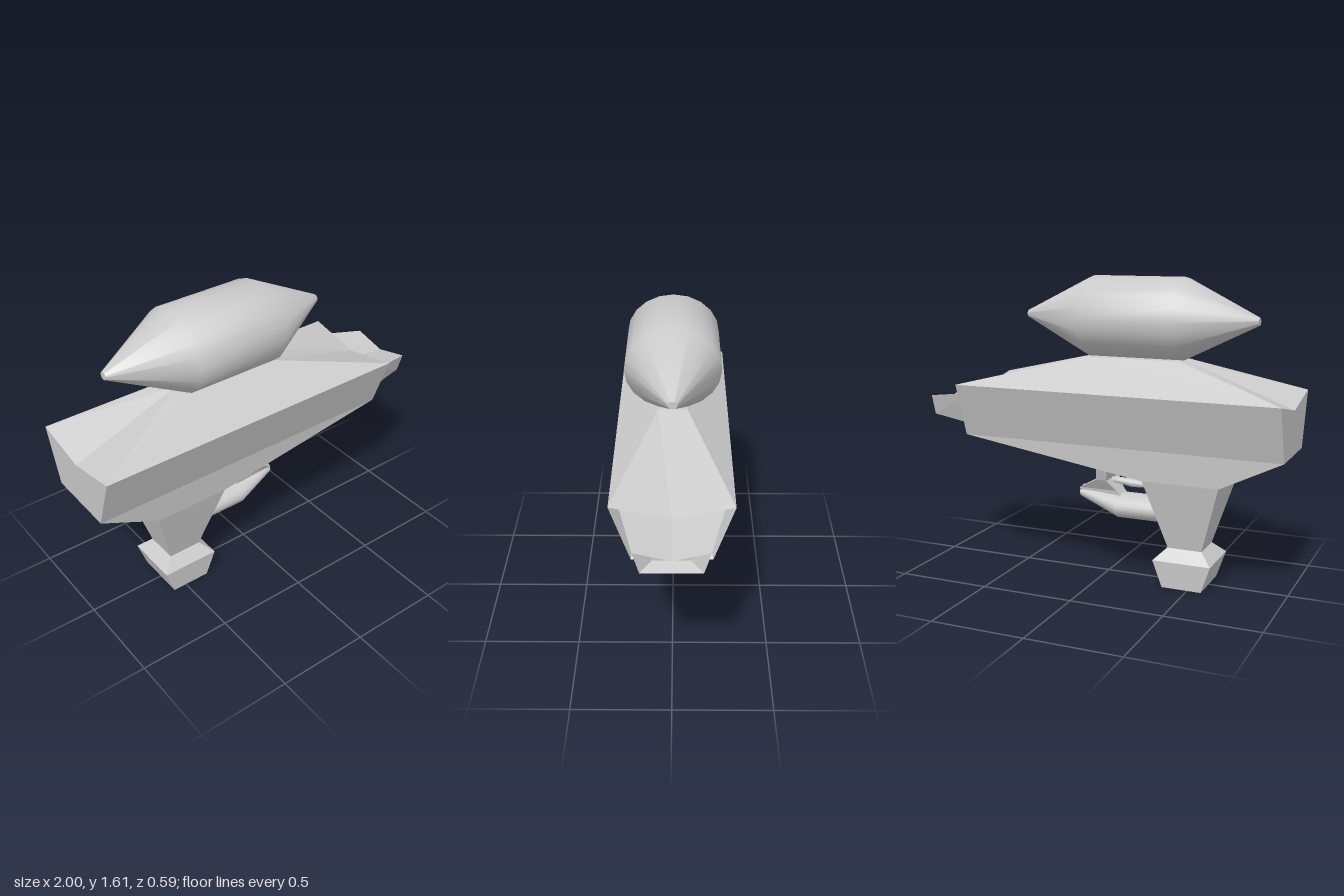
import * as THREE from 'three';
import { toCreasedNormals } from 'three/addons/utils/BufferGeometryUtils.js';

const material = new THREE.MeshStandardMaterial({ color: 0xcccccc, side: THREE.DoubleSide });

// Skin a list of equal-length rings; skip(i, j) leaves a panel open
function loft(rings, { startCap = false, endCap = false, skip = () => false } = {}) {
  const pos = [];
  const tri = (...pts) => pts.forEach((p) => pos.push(...p));
  const n = rings[0].length;
  for (let i = 0; i < rings.length - 1; i++) {
    for (let j = 0; j < n; j++) {
      if (skip(i, j)) continue;
      const k = (j + 1) % n;
      const a = rings[i][j], b = rings[i][k], c = rings[i + 1][k], d = rings[i + 1][j];
      // mirrored diagonals keep both sides alike
      if (j % 2) { tri(a, b, d); tri(b, c, d); } else { tri(a, b, c); tri(a, c, d); }
    }
  }
  // fans start at the middle point, where the outline may be notched
  const cap = (r, flip) => {
    for (let j = 1; j < n - 1; j++) {
      const p = r[(1 + j) % n], q = r[(2 + j) % n];
      if (flip) tri(r[1], q, p); else tri(r[1], p, q);
    }
  };
  if (startCap) cap(rings[0], true);
  if (endCap) cap(rings[rings.length - 1], false);
  const g = new THREE.BufferGeometry();
  g.setAttribute('position', new THREE.Float32BufferAttribute(pos, 3));
  g.computeVertexNormals();
  return g;
}

// Horizontal ring from x0 to x1, half width z; the end middles may dip to ym
const level = (y, x0, x1, z, ym = y) => [
  [x1, y, -z], [x1, ym, 0], [x1, y, z], [x0, y, z], [x0, ym, 0], [x0, y, -z],
];

// Upright ring at x: notched top edge, narrower bottom edge
const section = (x, yTop, yMid, zTop, yBot, zBot) => [
  [x, yTop, -zTop], [x, yMid, 0], [x, yTop, zTop],
  [x, yBot, zBot], [x, yBot, 0], [x, yBot, -zBot],
];

// Turned shape along x from [x, radius] pairs, widened in z
function spindle(profile, y, zScale, sides = 20) {
  const g = new THREE.LatheGeometry(profile.map(([x, r]) => new THREE.Vector2(r, x)), sides);
  g.rotateZ(-Math.PI / 2);
  g.scale(1, 1, zScale);
  g.translate(0, y, 0);
  return g;
}

export function createModel() {
  const model = new THREE.Group();
  const add = (name, geometry) => {
    const mesh = new THREE.Mesh(geometry, material);
    mesh.name = name;
    model.add(mesh);
    return mesh;
  };

  // Body with sloped deck, running down into the grip; open at the muzzle end
  add('bodyAndGrip', loft([
    level(1.19, -0.42, 0.1, 0.075),
    level(1.03, -1, 0.77, 0.295, 0.97),
    level(0.74, -1, 0.77, 0.195),
    level(0.575, -0.67, -0.26, 0.18),
    level(0.205, -0.56, -0.375, 0.09),
  ], { startCap: true, skip: (i, j) => i === 1 && j < 2 }));

  // Flared foot under the grip
  add('gripFoot', loft([
    level(0.205, -0.56, -0.375, 0.09),
    level(0.145, -0.625, -0.31, 0.147),
    level(0, -0.575, -0.36, 0.137),
  ], { endCap: true }));

  // Recessed body end, tapered muzzle and its hollow mouth
  add('muzzle', loft([
    section(0.77, 1.03, 0.97, 0.295, 0.74, 0.195),
    section(0.7, 0.983, 0.932, 0.25, 0.79, 0.178),
    section(1, 0.94, 0.897, 0.178, 0.83, 0.145),
    section(0.93, 0.89, 0.865, 0.1, 0.85, 0.09),
  ], { endCap: true }));

  // Tank on top of the deck
  add('topTank', toCreasedNormals(spindle([
    [-0.81, 0], [-0.81, 0.02], [-0.42, 0.212], [0.08, 0.212], [0.47, 0.02], [0.47, 0],
  ], 1.4, 1.16), 0.8));

  // Lower barrel, whose tapered nose bends upward
  const barrel = spindle([
    [-0.36, 0], [-0.36, 0.067], [-0.08, 0.067], [0.15, 0.033], [0.15, 0],
  ], 0.385, 1.6);
  const p = barrel.attributes.position;
  for (let i = 0; i < p.count; i++) {
    const t = Math.max(0, (p.getX(i) + 0.08) / 0.23);
    p.setY(i, p.getY(i) + 0.057 * t);
  }
  add('lowerBarrel', toCreasedNormals(barrel, 0.8));

  // Strut holding the barrel under the body
  add('barrelStrut', loft([
    level(0.63, -0.045, 0.02, 0.125),
    level(0.53, -0.02, 0.04, 0.088),
    level(0.47, -0.065, 0.15, 0.05),
    level(0.44, -0.09, 0.15, 0.045),
  ], { startCap: true, endCap: true }));

  // Pointed trigger behind the strut
  const trigger = add('trigger', toCreasedNormals(spindle([
    [-0.12, 0], [-0.12, 0.01], [-0.01, 0.024], [0.12, 0.012], [0.12, 0],
  ], 0, 1.3, 12), 0.8));
  trigger.position.set(-0.13, 0.513, 0);
  trigger.rotation.z = 0.08;

  return model;
}
